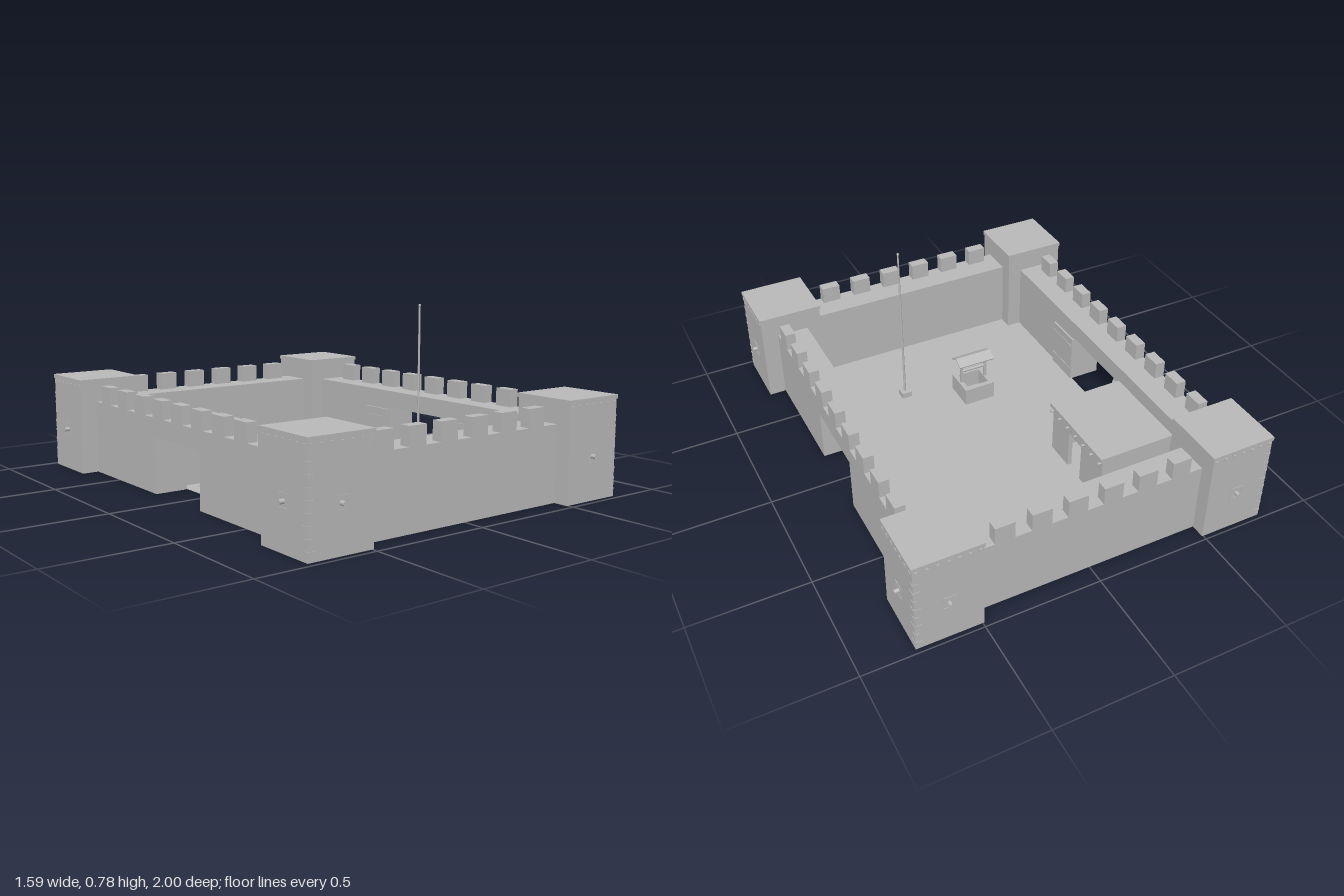
import * as THREE from 'three';

const stone = new THREE.MeshStandardMaterial({ color: 0xb8b8b8, side: THREE.DoubleSide });
stone.name = 'pale stone';

export function createModel() {
  const root = new THREE.Group();
  root.name = 'fort';

  const add = (name, geo, x = 0, y = 0, z = 0, parent = root) => {
    const m = new THREE.Mesh(geo, stone);
    m.name = name;
    m.position.set(x, y, z);
    parent.add(m);
    return m;
  };
  // box given by its limits; open boxes have no underside
  const box = (name, x0, x1, y0, y1, z0, z1, open = false, parent = root) => {
    const g = new THREE.BoxGeometry(x1 - x0, y1 - y0, z1 - z0);
    if (open) {
      const i = Array.from(g.index.array);
      i.splice(18, 6);
      g.setIndex(i);
      g.clearGroups();
    }
    return add(name, g, (x0 + x1) / 2, (y0 + y1) / 2, (z0 + z1) / 2, parent);
  };

  // courtyard floor
  add('courtyardFloor', new THREE.PlaneGeometry(1.12, 1.55).rotateX(-Math.PI / 2), 0, 0.003, 0);

  // end walls with battlements
  const wallTop = 0.318, merlonTop = 0.394;
  box('frontWall', -0.5, 0.5, 0, wallTop, 0.77, 0.91, true);
  box('backWall', -0.5, 0.5, 0, wallTop, -0.917, -0.777, true);
  for (let i = 0; i < 6; i++) {
    const x = -0.395 + i * 0.1545;
    box('frontMerlon', x - 0.042, x + 0.042, wallTop, merlonTop, 0.865, 0.91);
    box('backMerlon', x - 0.042, x + 0.042, wallTop, merlonTop, -0.917, -0.872);
  }

  // side walls with gateways, battlements and opened gate leaves
  for (const s of [1, -1]) {
    const side = (name, a, b, y0, y1, z0, z1, open) =>
      box(name, Math.min(s * a, s * b), Math.max(s * a, s * b), y0, y1, z0, z1, open);
    side('sideWall', 0.56, 0.7, 0, wallTop, 0.175, 0.71, true);
    side('sideWall', 0.56, 0.7, 0, wallTop, -0.715, -0.172, true);
    side('gateLintel', 0.56, 0.7, 0.238, wallTop, -0.172, 0.175);
    for (let i = 0; i < 9; i++) {
      const z = -0.613 + i * 0.1542;
      side('sideMerlon', 0.655, 0.7, wallTop, merlonTop, z - 0.042, z + 0.042);
    }
    for (const [z0, z1] of [[0.172, 0.34], [-0.348, -0.18]]) {
      side('gateLeaf', 0.55, 0.558, 0.005, 0.23, z0, z1);
      for (const y of [0.05, 0.18]) side('gateStrap', 0.547, 0.55, y, y + 0.014, z0 + 0.005, z1 - 0.005);
    }
  }

  // corner towers, built for the front left corner and turned outward by sign
  for (const sx of [1, -1]) for (const sz of [1, -1]) {
    const t = new THREE.Group();
    t.name = 'cornerTower';
    const cz = sz > 0 ? 0.84 : -0.845;
    t.position.set(sx * 0.634, 0, cz);
    root.add(t);
    box('towerBody', -0.14, 0.14, 0, 0.405, -0.135, 0.135, true, t);
    box('towerRoof', -0.144, 0.144, 0.403, 0.42, -0.139, 0.139, false, t);
    for (const axis of ['x', 'z']) {
      const face = new THREE.Group();
      face.name = 'towerOuterFace';
      face.rotation.y = axis === 'z' ? (sz > 0 ? 0 : Math.PI) : sx * Math.PI / 2;
      t.add(face);
      const d = axis === 'z' ? 0.135 : 0.14, w = axis === 'z' ? 0.14 : 0.135;
      // gun port frame and barrel
      for (const o of [-0.026, 0.026]) {
        box('gunPortFrame', o - 0.003, o + 0.003, 0.154, 0.212, d, d + 0.002, false, face);
        box('gunPortFrame', -0.029, 0.029, 0.183 + o - 0.003, 0.183 + o + 0.003, d, d + 0.002, false, face);
      }
      add('gunBarrel', new THREE.CylinderGeometry(0.009, 0.01, 0.035, 10).rotateX(Math.PI / 2),
        0, 0.183, d + 0.003, face);
      // beam ends under the roof and corner stones
      for (let i = 0; i < 7; i++) {
        const x = (i / 6 - 0.5) * (2 * w - 0.03);
        box('beamEnd', x - 0.006, x + 0.006, 0.385, 0.397, d, d + 0.005, false, face);
      }
      const corner = (axis === 'z' ? 1 : -1) * sx * sz;
      for (let i = 0; i < 8; i++) {
        const l = i % 2 ? 0.018 : 0.028;
        box('cornerStone', corner > 0 ? w - l : -w, corner > 0 ? w : -w + l,
          0.03 + i * 0.043, 0.038 + i * 0.043, d, d + 0.002, false, face);
      }
    }
  }

  // guard house: walls, doorway facing the yard, flat roof with beam ends
  box('houseFrontWall', -0.56, -0.225, 0, 0.235, -0.245, -0.225);
  box('houseBackWall', -0.56, -0.225, 0, 0.235, -0.625, -0.605);
  box('houseYardWall', -0.245, -0.225, 0, 0.235, -0.605, -0.46);
  box('houseYardWall', -0.245, -0.225, 0, 0.235, -0.36, -0.245);
  box('doorLintel', -0.245, -0.225, 0.18, 0.235, -0.46, -0.36);
  box('houseRoof', -0.565, -0.212, 0.232, 0.25, -0.635, -0.215);
  for (let i = 0; i < 7; i++) {
    add('houseBeamEnd', new THREE.CylinderGeometry(0.006, 0.006, 0.03, 8).rotateZ(Math.PI / 2),
      -0.221, 0.215, -0.615 + i * 0.064);
  }

  // loose boards beside the gate
  for (let i = 0; i < 4; i++) box('looseBoard', -0.5, -0.4, 0.003, 0.008, -0.165 + i * 0.035, -0.14 + i * 0.035);

  // well: square rim, posts, windlass and pitched roof
  const well = new THREE.Group();
  well.name = 'well';
  well.position.set(-0.088, 0, 0.288);
  root.add(well);
  for (const s of [-1, 1]) {
    add('wellRim', new THREE.BoxGeometry(0.148, 0.085, 0.022), 0, 0.0425, s * 0.061, well);
    add('wellRim', new THREE.BoxGeometry(0.022, 0.085, 0.1), s * 0.063, 0.0425, 0, well);
    add('wellPost', new THREE.BoxGeometry(0.012, 0.12, 0.012), s * 0.06, 0.145, 0, well);
    const slope = add('wellRoof', new THREE.BoxGeometry(0.175, 0.006, 0.049), 0, 0.21, s * 0.0215, well);
    slope.rotation.x = s * 0.5;
  }
  add('windlass', new THREE.CylinderGeometry(0.007, 0.007, 0.13, 8).rotateZ(Math.PI / 2), 0, 0.145, 0, well);

  // flagpole
  box('flagpoleBase', 0.184, 0.23, 0, 0.03, 0.39, 0.436);
  add('flagpole', new THREE.CylinderGeometry(0.004, 0.006, 0.75, 8), 0.208, 0.395, 0.415);
  add('flagpoleKnob', new THREE.SphereGeometry(0.006, 8, 6), 0.208, 0.77, 0.415);

  return root;
}
